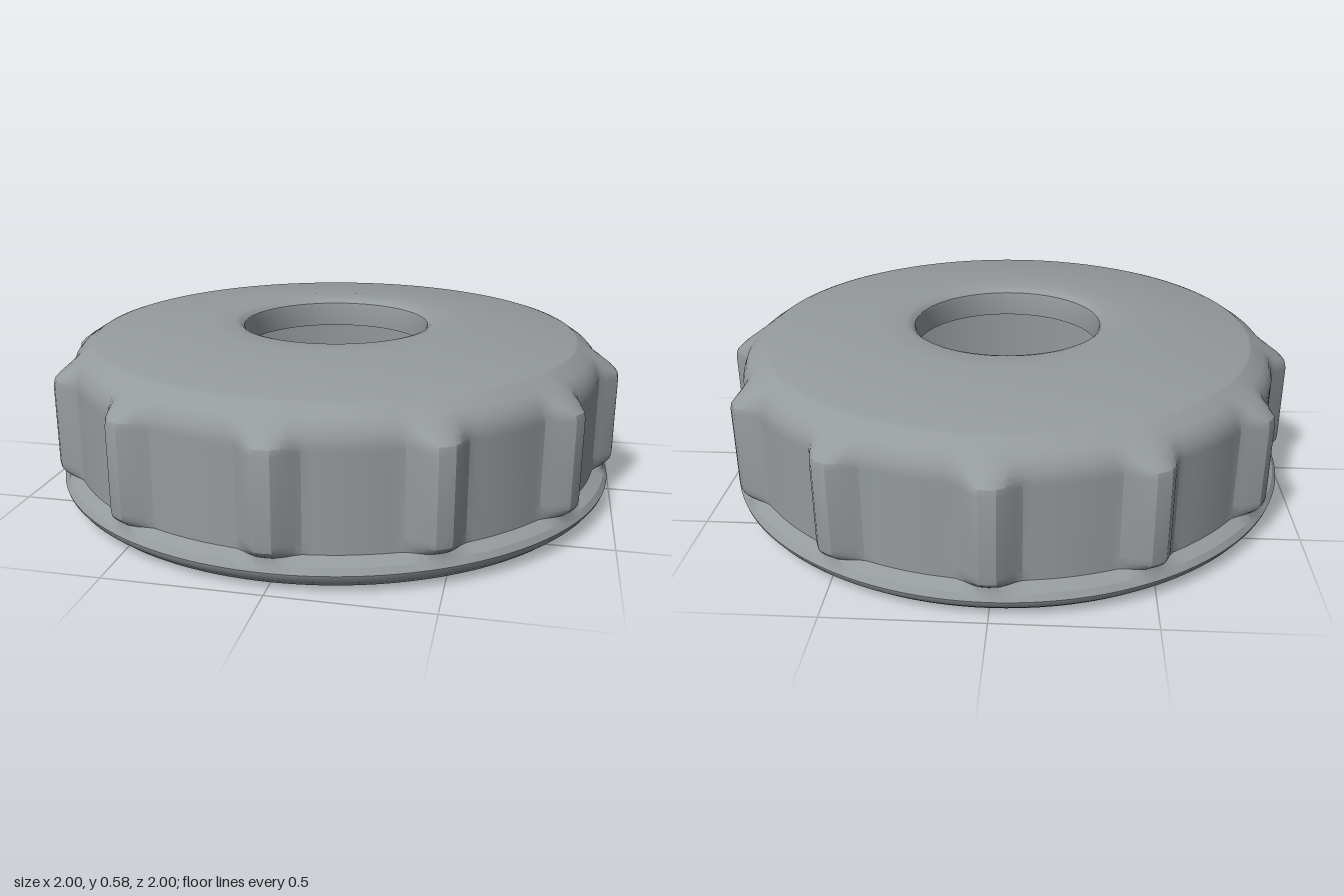
import * as THREE from 'three';
import { toCreasedNormals } from 'three/addons/utils/BufferGeometryUtils.js';

const RIBS = 12;
const SEGMENTS = RIBS * 20;

// 1 on a rib's crest, easing to 0 in the grooves between ribs
function ribAmount(angle) {
  const step = (Math.PI * 2) / RIBS;
  const off = Math.abs(angle - Math.round(angle / step) * step);
  const t = THREE.MathUtils.clamp((off - 0.015) / 0.1, 0, 1);
  return 1 - t * t * (3 - 2 * t);
}

// Lathe a [grooveRadius, y, ribRadius?] profile, pushing the ribs outward
function ribbedLathe(profile) {
  const points = profile.map(([r, y]) => new THREE.Vector2(r, y));
  const geometry = new THREE.LatheGeometry(points, SEGMENTS);
  const pos = geometry.attributes.position;
  for (let i = 0; i < pos.count; i++) {
    const [r, y, rib = r] = profile[i % profile.length];
    const angle = (Math.floor(i / profile.length) / SEGMENTS) * Math.PI * 2;
    const radius = r + (rib - r) * ribAmount(angle);
    pos.setXYZ(i, radius * Math.sin(angle), y, radius * Math.cos(angle));
  }
  // enlarge while creasing so that close vertices stay distinct
  geometry.scale(20, 20, 20);
  const creased = toCreasedNormals(geometry, 0.5);
  creased.scale(0.05, 0.05, 0.05);
  return creased;
}

export function createModel() {
  const group = new THREE.Group();
  group.name = 'ringNut';
  const grey = new THREE.MeshStandardMaterial({ color: 0x959a9d });
  grey.name = 'grey';

  const add = (name, profile) => {
    const mesh = new THREE.Mesh(ribbedLathe(profile), grey);
    mesh.name = name;
    group.add(mesh);
  };

  // Rounded flange round the open underside
  add('flange', [
    [0.81, 0], [0.91, 0], [0.945, 0.014], [0.97, 0.035], [0.985, 0.055],
    [0.988, 0.065], [0.975, 0.085], [0.935, 0.105, 0.972],
  ]);

  // Grip with ribs that fade into the shoulder
  add('grip', [
    [0.935, 0.105, 0.972], [0.935, 0.115, 0.985], [0.935, 0.13, 0.997], [0.935, 0.15, 1],
    [0.935, 0.42, 1], [0.935, 0.44, 0.995], [0.93, 0.46, 0.975],
    [0.92, 0.485, 0.94], [0.9, 0.507, 0.905], [0.855, 0.538],
  ]);

  // Shallow conical top and the bevelled lip of the hole
  add('top', [
    [0.855, 0.538], [0.84, 0.543], [0.45, 0.578], [0.36, 0.578],
    [0.343, 0.573], [0.331, 0.562], [0.327, 0.545], [0.327, 0.475],
  ]);

  // Underside of the top and the smooth inner wall
  add('inside', [[0.327, 0.475], [0.77, 0.435], [0.81, 0.39], [0.81, 0]]);

  return group;
}
